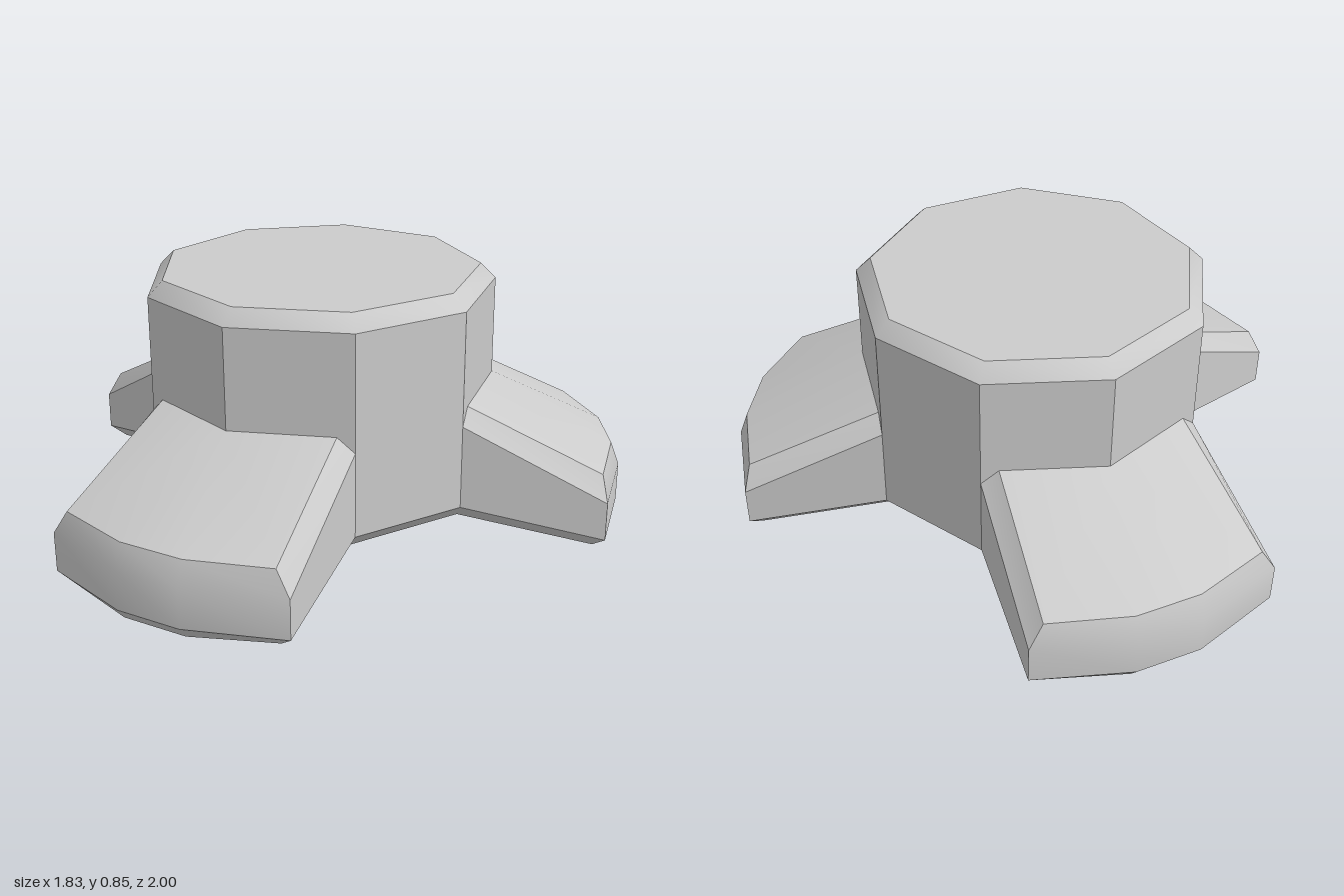
import * as THREE from 'three';
import { toCreasedNormals } from 'three/addons/utils/BufferGeometryUtils.js';

const RAD = Math.PI / 180;
const SIDES = 9, RADIUS = 0.58;
const material = new THREE.MeshStandardMaterial({ color: 0xcccccc });

// Point on a ring around the hub axis (angle runs from +x towards +z).
const polar = (deg, r, y) => [r * Math.cos(deg * RAD), y, r * Math.sin(deg * RAD)];
const turn = ([x, y, z], deg) => {
  const c = Math.cos(deg * RAD), s = Math.sin(deg * RAD);
  return [x * c - z * s, y, x * s + z * c];
};

// Mesh from polygons, each triangulated as a fan from its first corner.
function meshFrom(name, polygons) {
  const pos = [];
  for (const p of polygons)
    for (let i = 1; i < p.length - 1; i++) pos.push(...p[0], ...p[i], ...p[i + 1]);
  const geometry = new THREE.BufferGeometry();
  geometry.setAttribute('position', new THREE.Float32BufferAttribute(pos, 3));
  const mesh = new THREE.Mesh(toCreasedNormals(geometry, 32 * RAD), material);
  mesh.name = name;
  return mesh;
}

// Strip of quads between two rows that run in increasing angle.
function strip(lower, upper) {
  const quads = [];
  for (let i = 0; i < lower.length - 1; i++)
    quads.push([lower[i], upper[i], upper[i + 1], lower[i + 1]]);
  return quads;
}

// Where a leg meets the hub: underside corner and top corner.
const underside = (side) => [0.44, 0.09, 0.32 * side];
const topCorner = (side) => [0.463, 0.47, 0.32 * side];
const hubCorner = (deg, y) => polar(deg, RADIUS, y);

function createHub() {
  const ring = (r, y) => Array.from({ length: SIDES + 1 }, (_, i) => polar(i * 40, r, y));
  const cap = ring(RADIUS - 0.05, 0.85);
  const faces = [...strip(ring(RADIUS, 0.8), cap), cap.slice(0, SIDES).reverse()];
  const base = [];
  for (const a of [0, 120, 240]) {
    const t1 = turn(topCorner(-1), a), t2 = turn(topCorner(1), a);
    // two walls above the leg
    faces.push([hubCorner(a - 40, 0.42), hubCorner(a - 40, 0.8), hubCorner(a, 0.8), hubCorner(a, 0.47), t1]);
    faces.push([hubCorner(a, 0.47), hubCorner(a, 0.8), hubCorner(a + 40, 0.8), hubCorner(a + 40, 0.42), t2]);
    // full-height wall between legs with its lower bevel
    const low = [hubCorner(a + 40, 0.14), hubCorner(a + 80, 0.14)];
    faces.push(...strip(low, [hubCorner(a + 40, 0.8), hubCorner(a + 80, 0.8)]));
    faces.push(...strip([turn(underside(1), a), turn(underside(-1), a + 120)], low));
    base.push(turn(underside(-1), a), turn(underside(1), a));
  }
  faces.push(base);
  return meshFrom('hub', faces);
}

function createLeg() {
  // One row round the leg: inner end, outer corner, tip, then mirrored back.
  const row = (inner, corner, tip) => {
    const half = [inner, corner, tip];
    return [...half.map(([x, y, z]) => [x, y, -z]), ...half.reverse()];
  };
  const join = (y) => hubCorner(40, y);
  const rows = [
    row(underside(1), [0.88, 0, 0.37], [0.98, 0, 0.11]),
    row(join(0.14), [0.91, 0.04, 0.42], [1.01, 0.04, 0.11]),
    row(join(0.42), [0.91, 0.17, 0.42], [1.01, 0.17, 0.11]),
    row(topCorner(1), [0.90, 0.25, 0.37], [0.98, 0.25, 0.11]),
  ];
  const faces = [];
  for (let i = 0; i < 3; i++) faces.push(...strip(rows[i], rows[i + 1]));
  // sloping top and underside
  faces.push([hubCorner(0, 0.47), ...rows[3].slice().reverse()]);
  const b = rows[0];
  faces.push([b[0], b[1], b[4], b[5]], [b[1], b[2], b[3], b[4]]);
  return meshFrom('leg', faces);
}

export function createModel() {
  const group = new THREE.Group();
  group.name = 'threeLeggedHub';
  const body = new THREE.Group();
  body.name = 'body';
  body.position.x = -0.1;
  body.add(createHub());
  const leg = createLeg();
  ['leftLeg', 'frontRightLeg', 'backRightLeg'].forEach((name, i) => {
    const copy = leg.clone();
    copy.name = name;
    copy.rotation.y = -i * 120 * RAD;
    body.add(copy);
  });
  group.add(body);
  return group;
}
